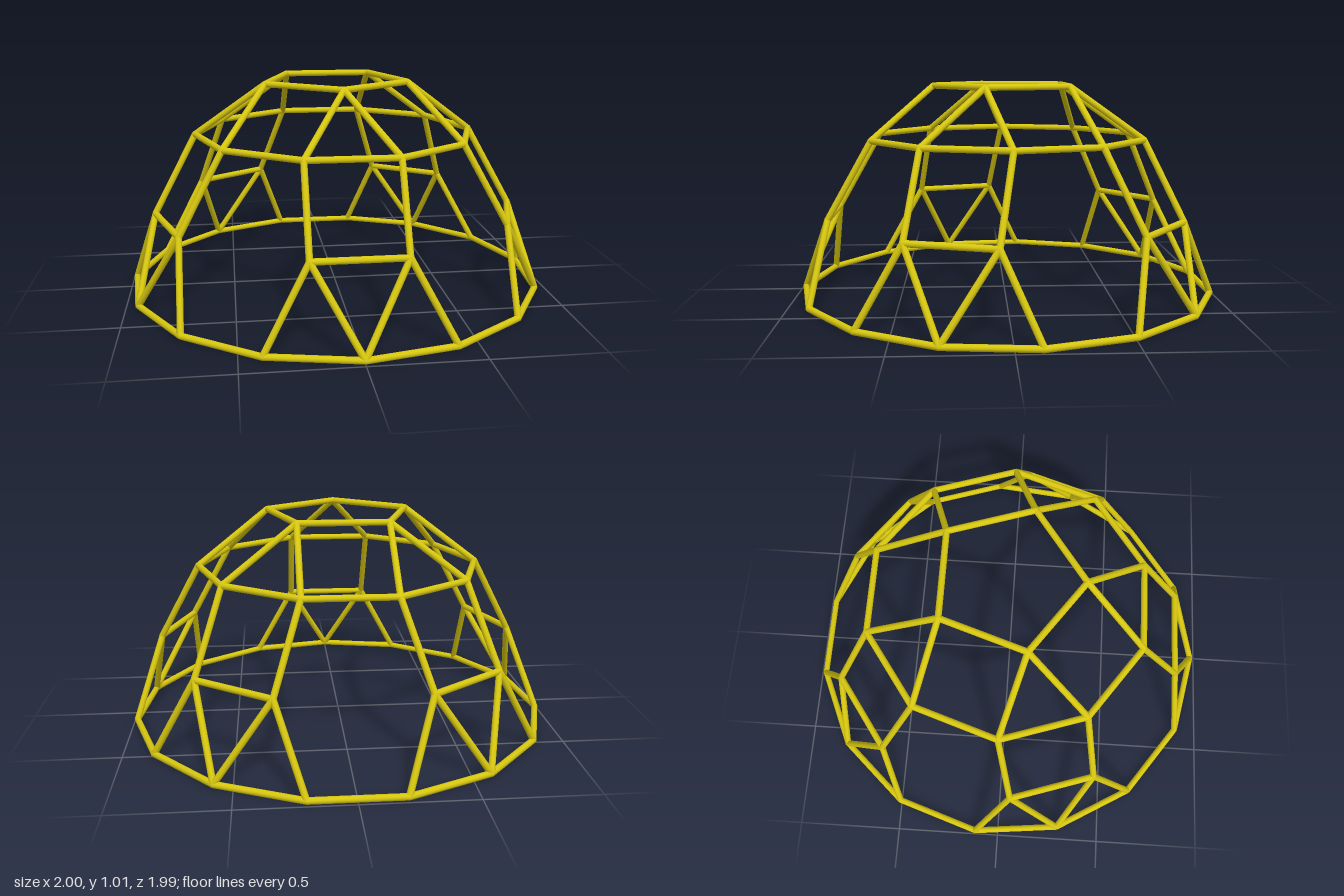
import * as THREE from 'three';

const TUBE = 0.015;

export function createModel() {
  const model = new THREE.Group();
  model.name = 'domeFrame';
  const material = new THREE.MeshStandardMaterial({ color: 0xd6c60f });

  // point on a level ring, angle in degrees from the front (+z)
  const at = (radius, y, deg) => {
    const a = THREE.MathUtils.degToRad(deg);
    return new THREE.Vector3(Math.sin(a) * radius, y, Math.cos(a) * radius - 0.011);
  };
  const top = (deg) => at(0.352, 1.0 - 0.002, deg);
  const upper = (deg) => at(0.667, 0.75, deg);
  const lower = (deg) => at(0.867, 0.383, deg);
  const base = (deg) => at(0.99, TUBE, deg);
  const LOW = 13.7; // half angle of each lower pair

  const add = (geometry, name) => {
    const mesh = new THREE.Mesh(geometry, material);
    mesh.name = name;
    model.add(mesh);
    return mesh;
  };

  // straight round strut between two points
  const strut = (a, b, name) => {
    const mesh = add(new THREE.CylinderGeometry(TUBE, TUBE, a.distanceTo(b), 12), name);
    mesh.position.lerpVectors(a, b, 0.5);
    mesh.quaternion.setFromUnitVectors(new THREE.Vector3(0, 1, 0), b.clone().sub(a).normalize());
  };

  // rounded joint where struts meet
  const joint = (p) => add(new THREE.SphereGeometry(TUBE, 12, 8), 'joint').position.copy(p);

  // five identical sectors
  for (let i = 0; i < 5; i++) {
    const c = i * 72;
    strut(top(c), top(c + 72), 'topRing');
    strut(upper(c - 18), upper(c + 18), 'upperRing');
    strut(upper(c + 18), upper(c + 54), 'upperRing');
    strut(lower(c - LOW), lower(c + LOW), 'lowerBar');
    joint(top(c));
    joint(base(c));

    for (const s of [-1, 1]) {
      const u = upper(c + s * 18);
      const l = lower(c + s * LOW);
      const b = base(c + s * 24);
      strut(top(c), u, 'roofStrut');
      strut(u, l, 'wallStrut');
      strut(l, base(c), 'innerLeg');
      strut(l, b, 'outerLeg');
      [u, l, b].forEach(joint);
    }
    for (let k = 0; k < 3; k++) strut(base(c + k * 24), base(c + k * 24 + 24), 'baseRing');
  }
  return model;
}
